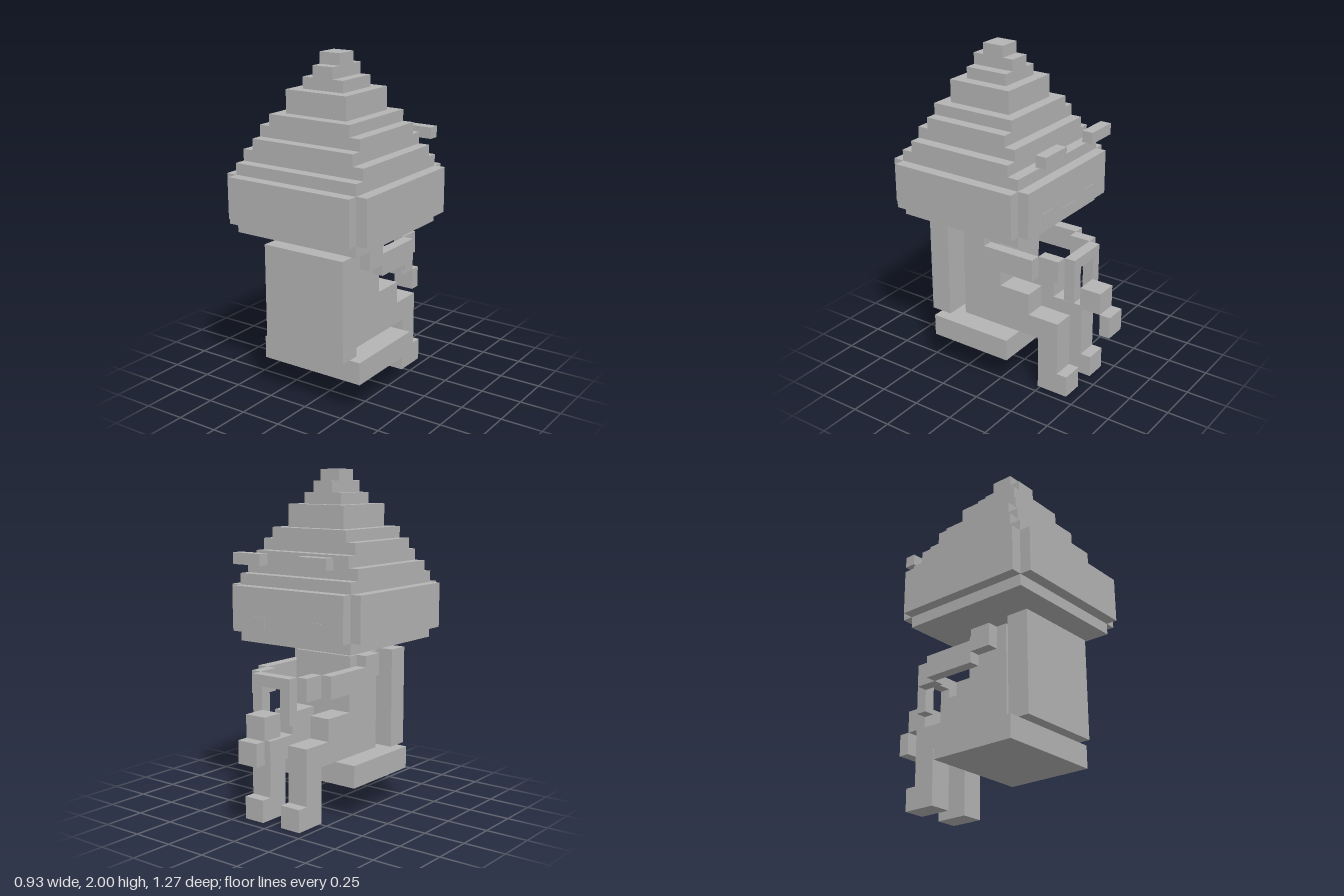
import * as THREE from 'three';

const U = 2 / 30; // size of one block

export function createModel() {
  const model = new THREE.Group();
  const stone = new THREE.MeshStandardMaterial({ color: 0xb4b4b4 });
  stone.name = 'plain grey';

  // Box given by its limits in blocks
  const box = (name, x0, x1, y0, y1, z0, z1) => {
    const geometry = new THREE.BoxGeometry((x1 - x0) * U, (y1 - y0) * U, (z1 - z0) * U);
    const mesh = new THREE.Mesh(geometry, stone);
    mesh.name = name;
    mesh.position.set((x0 + x1) / 2 * U, (y0 + y1) / 2 * U, (z0 + z1) / 2 * U);
    model.add(mesh);
  };
  // Centred box of half width w
  const mid = (name, w, ...rest) => box(name, -w, w, ...rest);
  // The same box on both sides
  const pair = (name, x0, x1, ...rest) => {
    box(name + 'Left', x0, x1, ...rest);
    box(name + 'Right', -x1, -x0, ...rest);
  };

  // Seat, back panel, torso and neck
  mid('seat', 5, 3, 5, -1.5, 6.5);
  mid('backPanel', 4, 5, 14, 5.5, 7.5);
  mid('torso', 3, 5, 14, 0.5, 4.5);
  mid('neck', 1, 14, 15, 1.5, 3.5);

  // Legs
  pair('thigh', 1, 3, 5, 9, -2.5, 0.5);
  pair('knee', 1, 3, 5, 7, -5.5, -2.5);
  pair('shin', 1, 3, 0, 5, -5.5, -3.5);
  pair('toe', 1, 3, 0, 2, -6.5, -5.5);

  // Arms
  pair('shoulder', 3, 4, 12, 14, 1.5, 3.5);
  pair('forearm', 3, 4, 11, 13, -3.5, 1.5);
  pair('hand', 2, 3, 11, 13, -5.5, -3.5);

  // Held frame with a stepped piece below it
  mid('frameTop', 2, 12, 13, -6.5, -5.5);
  pair('framePost', 1, 2, 9, 12, -6.5, -5.5);
  mid('heldPiece', 1, 8, 10, -8.5, -6.5);
  mid('heldTip', 1, 6, 8, -9.5, -8.5);

  // Head: a core with plates on its four sides
  mid('headCore', 6, 15, 21, -3.5, 8.5);
  pair('headSide', 6, 7, 16, 20, -3.5, 8.5);
  mid('face', 6, 16, 20, -4.5, -3.5);
  mid('headBack', 6, 16, 20, 8.5, 9.5);

  // Face details
  pair('eyebrow', 2, 5, 22, 23, -5.5, -4.5);
  pair('eye', 2.4, 4, 16.5, 17.5, -4.54, -4.5);
  mid('mouth', 1, 16.5, 17, -4.54, -4.5);

  // Stepped peak: half width, y range, z range
  [
    [6, 21, 22, -2.5, 7.5],
    [5, 22, 23, -2.5, 7.5],
    [5, 23, 24, -1.5, 6.5],
    [4, 24, 25, -1.5, 6.5],
    [3, 25, 27, -0.5, 5.5],
    [2, 27, 28, 0.5, 4.5],
    [1, 28, 29, 0.5, 4.5],
    [1, 29, 30, 1.5, 3.5],
  ].forEach((step, i) => mid('peakStep' + (i + 1), ...step));

  return model;
}
